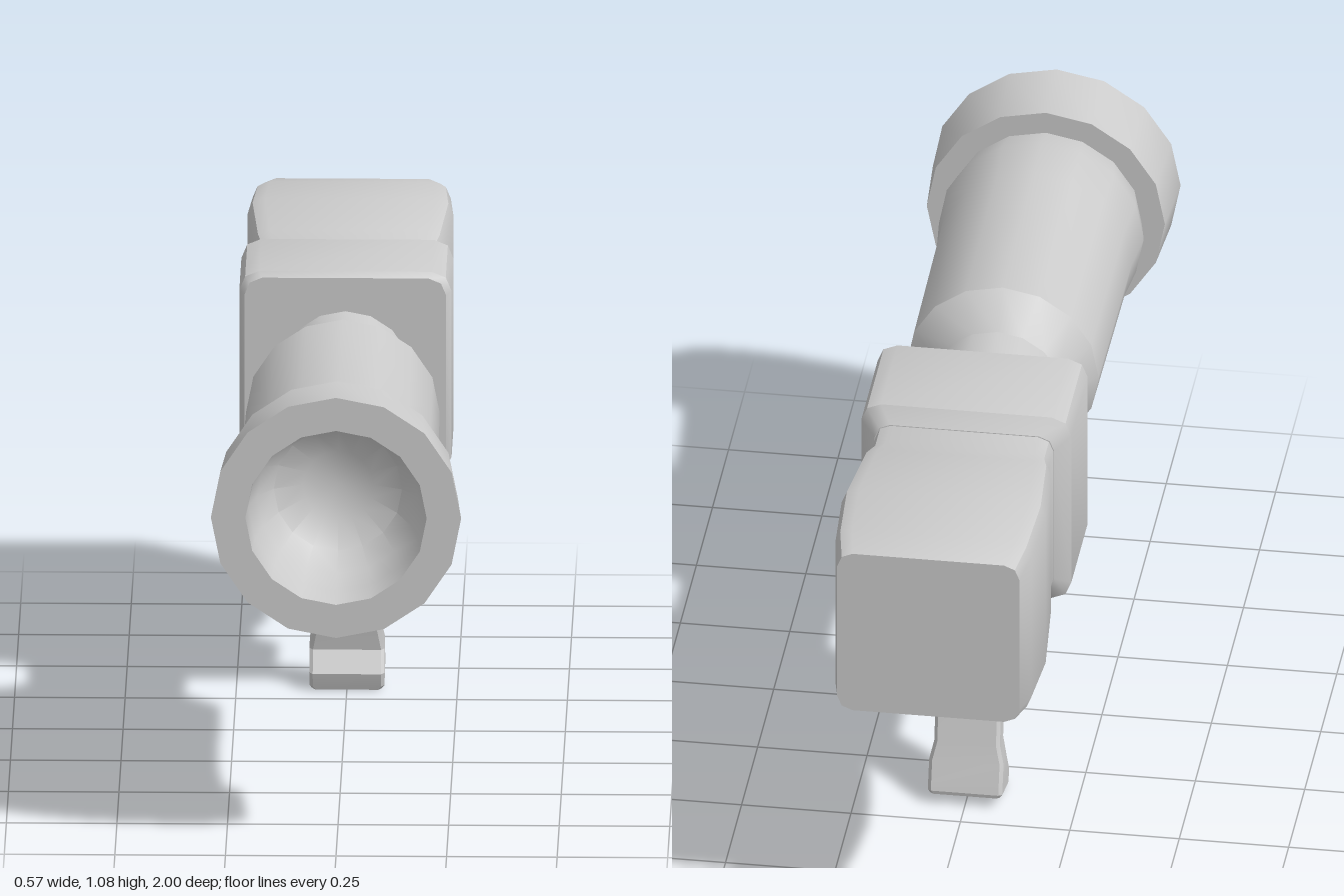
import * as THREE from 'three';
import { toCreasedNormals } from 'three/addons/utils/BufferGeometryUtils.js';

const AXIS_Y = 0.797;
const grey = new THREE.MeshStandardMaterial({ color: 0xcccccc });

function part(name, geometry, crease = 0.55) {
  const mesh = new THREE.Mesh(toCreasedNormals(geometry, crease), grey);
  mesh.name = name;
  return mesh;
}

// Closed solid through equal-sized rings, each running counter-clockwise about the stacking direction
function loft(rings) {
  const n = rings[0].length, pos = [];
  const tri = (...pts) => pts.forEach(p => pos.push(p.x, p.y, p.z));
  for (let i = 0; i < rings.length - 1; i++) {
    for (let j = 0; j < n; j++) {
      const k = (j + 1) % n;
      const a = rings[i][j], b = rings[i][k], c = rings[i + 1][k], d = rings[i + 1][j];
      tri(a, b, c);
      tri(a, c, d);
    }
  }
  const first = rings[0], last = rings[rings.length - 1];
  for (let j = 1; j < n - 1; j++) {
    tri(first[0], first[j + 1], first[j]);
    tri(last[0], last[j], last[j + 1]);
  }
  const geometry = new THREE.BufferGeometry();
  geometry.setAttribute('position', new THREE.Float32BufferAttribute(pos, 3));
  return geometry;
}

// Square section with rounded corners, facing z
function roundedSquare(z, half, radius) {
  const ring = [];
  for (let corner = 0; corner < 4; corner++) {
    const mid = Math.PI / 4 + corner * Math.PI / 2;
    const cx = Math.sign(Math.cos(mid)) * (half - radius);
    const cy = Math.sign(Math.sin(mid)) * (half - radius);
    for (let s = 0; s <= 2; s++) {
      const a = (corner + s / 2) * Math.PI / 2;
      ring.push(new THREE.Vector3(cx + radius * Math.cos(a), AXIS_Y + cy + radius * Math.sin(a), z));
    }
  }
  return ring;
}

// Grip section between a front and a back point, with chamfered corners
function gripRing([zf, yf, zb, yb, w]) {
  const c = 0.008;
  const at = (z, x) => new THREE.Vector3(x, yf + (yb - yf) * (z - zf) / (zb - zf), z);
  return [
    at(zf, -w + c), at(zf, w - c), at(zf - c, w), at(zb + c, w),
    at(zb, w - c), at(zb, -w + c), at(zb + c, -w), at(zf - c, -w),
  ];
}

export function createModel() {
  const model = new THREE.Group();

  // Barrel with flared muzzle and hollow bowl, turned from the back to the front and inwards
  const profile = [
    [0, -0.16], [0.15, -0.16], [0.15, 0.08], [0.219, 0.16], [0.223, 0.65], [0.234, 0.76],
    [0.219, 0.83], [0.272, 0.83], [0.283, 1],
    [0.205, 1], [0.2, 0.91], [0.182, 0.83], [0.145, 0.77], [0.08, 0.735], [0, 0.725],
  ].map(([r, z]) => new THREE.Vector2(r, z));
  const barrelGeometry = new THREE.LatheGeometry(profile, 16);
  barrelGeometry.rotateX(Math.PI / 2);
  barrelGeometry.translate(0, AXIS_Y, 0);
  model.add(part('barrel', barrelGeometry));

  // Square housing with bevelled ends: z, half size, corner radius
  const housing = [
    [-0.437, 0.205, 0.035], [-0.408, 0.24, 0.045], [-0.153, 0.24, 0.045], [-0.14, 0.228, 0.04],
  ];
  model.add(part('housing', loft(housing.map(s => roundedSquare(...s)))));

  // Bulging rear block
  const rear = [
    [-1, 0.208, 0.035], [-0.92, 0.224, 0.038], [-0.76, 0.233, 0.04],
    [-0.56, 0.216, 0.037], [-0.51, 0.203, 0.034], [-0.42, 0.203, 0.034],
  ];
  model.add(part('rearBlock', loft(rear.map(s => roundedSquare(...s)))));

  // Slanted grip, bottom to top: front z, front y, back z, back y, half width
  const grip = [
    [-0.325, 0, -0.433, 0.027, 0.079],
    [-0.322, 0.008, -0.435, 0.036, 0.085],
    [-0.313, 0.04, -0.43, 0.056, 0.085],
    [-0.346, 0.088, -0.415, 0.105, 0.085],
    [-0.337, 0.14, -0.404, 0.148, 0.075],
    [-0.276, 0.42, -0.337, 0.432, 0.075],
    [-0.26, 0.462, -0.331, 0.475, 0.085],
    [-0.195, 0.51, -0.324, 0.52, 0.085],
    [-0.195, 0.57, -0.317, 0.57, 0.085],
  ];
  model.add(part('grip', loft(grip.map(gripRing)), 0.4));

  return model;
}
